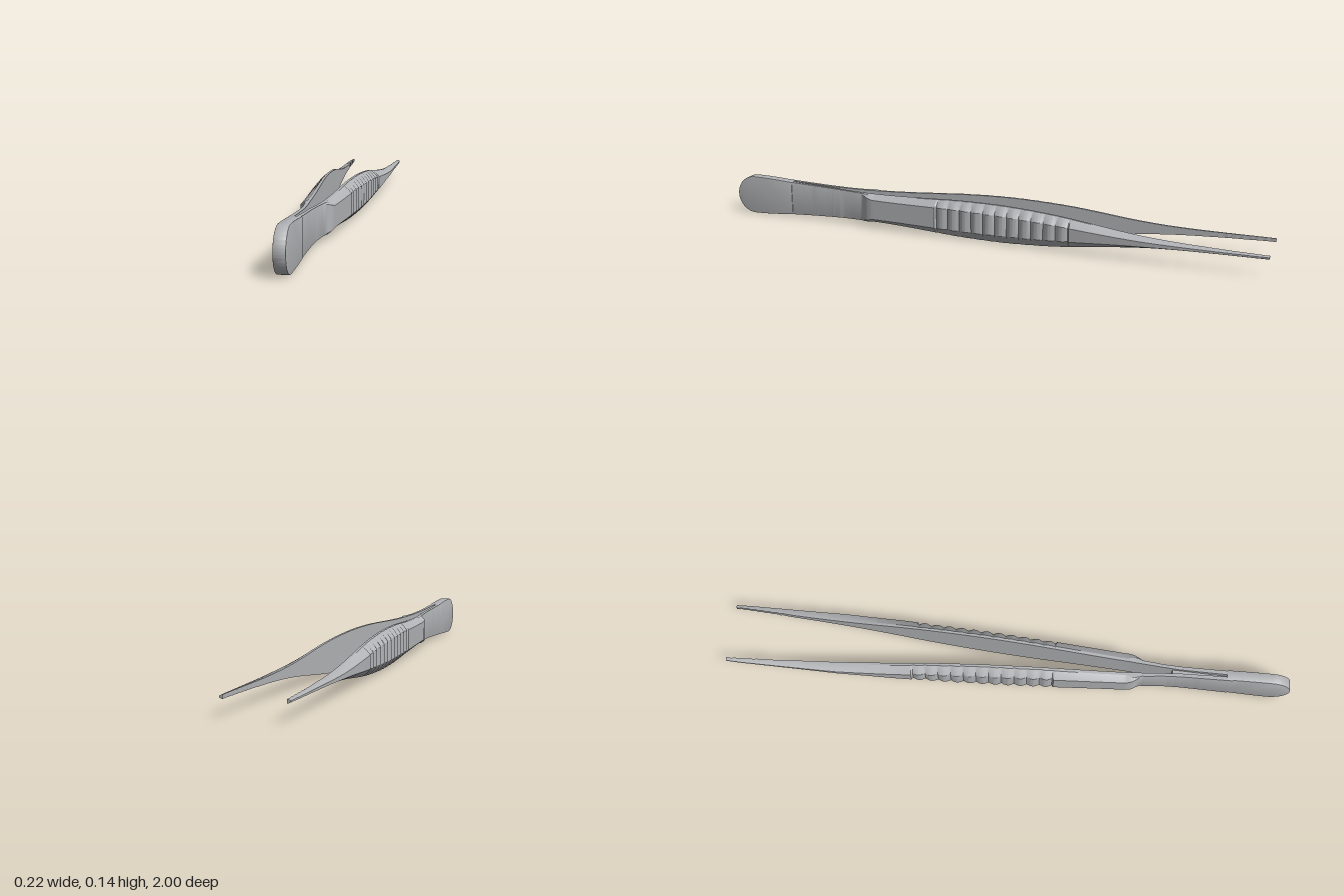
import * as THREE from 'three';
import { toCreasedNormals } from 'three/addons/utils/BufferGeometryUtils.js';

// Interpolated profile from [z, value] pairs in ascending z.
function profile(pairs, smooth = false) {
  const Kind = smooth ? THREE.CubicInterpolant : THREE.LinearInterpolant;
  const f = new Kind(pairs.map(p => p[0]), pairs.map(p => p[1]), 1, [0]);
  return z => f.evaluate(z)[0];
}

// Arm profiles along z
const halfHeight = profile([[-1, 0.006], [-0.8, 0.009], [-0.7, 0.012], [-0.6, 0.018], [-0.5, 0.028], [-0.4, 0.041],
  [-0.3, 0.053], [-0.2, 0.061], [-0.1, 0.066], [0, 0.067], [0.1, 0.065], [0.2, 0.06], [0.3, 0.055],
  [0.4, 0.052], [0.5, 0.052], [0.6, 0.055], [0.7, 0.059], [0.8, 0.064]], true);
const centreY = profile([[-1, 0.066], [-0.6, 0.068], [0, 0.071], [0.8, 0.0735]]);
const outerX = profile([[-1, 0.107], [-0.95, 0.109], [-0.6, 0.111], [-0.4, 0.104], [0, 0.083], [0.425, 0.055],
  [0.445, 0.05], [0.475, 0.03], [0.55, 0.022], [0.62, 0.019], [0.8, 0.018]]);
const innerX = profile([[-1, 0.096], [-0.4, 0.068], [0, 0.045], [0.43, 0.02], [0.6, 0.007], [0.8, 0.003]]);
// Share of the thickness with straight sides, and share of the height left flat outside
const sideShare = profile([[-1, 0.25], [-0.5, 0.25], [0.42, 0.3], [0.48, 0.98], [0.8, 0.98]]);
const flatShare = profile([[-1, 0.4], [-0.5, 0.45], [0, 0.55], [0.42, 0.7], [0.48, 0.98], [0.8, 0.98]]);

const GRIP_START = -0.33, GRIP_END = 0.165, RIDGES = 11;

// Scalloped grip ridges on the outside
function gripDepth(z) {
  if (z < GRIP_START || z > GRIP_END) return 0;
  const u = (z - GRIP_START) / (GRIP_END - GRIP_START) * RIDGES;
  return 0.008 * (1 - Math.abs(Math.sin(Math.PI * u)));
}

// Cross-section of the +x arm, anticlockwise from the inner bottom corner
function section(z) {
  const h = halfHeight(z), y = centreY(z), s = sideShare(z), c = flatShare(z);
  const teeth = z < -0.8 && z > -0.985 ? 0.002 * Math.abs(Math.sin(z * 120)) : 0;
  const xi = innerX(z) + teeth, t = outerX(z) - gripDepth(z) - xi;
  const mid = (1 + s) / 2 + 0.08 * (1 - s);
  const half = [[0, 1], [s, 1], [mid, (1 + c) / 2], [1, c]];
  const low = half.map(([a, b]) => [xi + a * t, y - b * h]);
  const high = half.map(([a, b]) => [xi + a * t, y + b * h]).reverse();
  return [...low, ...high];
}

// Loft of one arm; side is +1 or -1
function armGeometry(side) {
  const pos = [], idx = [], n = 8, steps = 320, z0 = 0.79, z1 = -1;
  for (let i = 0; i <= steps; i++) {
    const z = z0 + (z1 - z0) * i / steps;
    for (const [x, y] of section(z)) pos.push(side * x, y, z);
  }
  const tri = (a, b, c) => (side > 0 ? idx.push(a, b, c) : idx.push(a, c, b));
  for (let i = 0; i < steps; i++) {
    for (let j = 0; j < n; j++) {
      const a = i * n + j, b = i * n + (j + 1) % n;
      tri(a, b + n, b);
      tri(a, a + n, b + n);
    }
  }
  const last = steps * n;
  for (let j = 1; j < n - 1; j++) {
    tri(0, j, j + 1);
    tri(last, last + j + 1, last + j);
  }
  const g = new THREE.BufferGeometry();
  g.setAttribute('position', new THREE.Float32BufferAttribute(pos, 3));
  g.setIndex(idx);
  return toCreasedNormals(g, 0.5);
}

// Rounded end plate, drawn in (z, y) and extruded across x
function headGeometry() {
  const r = 0.07, zc = 0.929, hb = 0.0615, bevel = 0.002;
  const s = new THREE.Shape();
  s.moveTo(0.77, -hb);
  s.quadraticCurveTo(0.87, -r, zc, -r);
  s.absarc(zc, 0, r, -Math.PI / 2, Math.PI / 2, false);
  s.quadraticCurveTo(0.87, r, 0.77, hb);
  s.closePath();
  const depth = 0.033;
  const g = new THREE.ExtrudeGeometry(s, {
    depth, curveSegments: 24, bevelEnabled: true, bevelThickness: bevel, bevelSize: bevel, bevelOffset: -bevel / 2, bevelSegments: 2,
  });
  g.translate(0, 0, -depth / 2);
  g.rotateY(-Math.PI / 2);
  g.translate(0.002, 0.0735, 0);
  return toCreasedNormals(g, 0.6);
}

export function createModel() {
  const steel = new THREE.MeshStandardMaterial({ color: 0xb2b3b6 });
  steel.name = 'steel';
  const model = new THREE.Group();
  model.name = 'tweezers';
  const add = (name, geometry) => {
    const mesh = new THREE.Mesh(geometry, steel);
    mesh.name = name;
    model.add(mesh);
    return mesh;
  };

  add('leftArm', armGeometry(1));
  add('rightArm', armGeometry(-1));
  add('head', headGeometry());

  // Spacer recessed between the arms
  add('spacer', new THREE.BoxGeometry(0.014, 0.09, 0.2)).position.set(0, 0.073, 0.68);

  return model;
}
